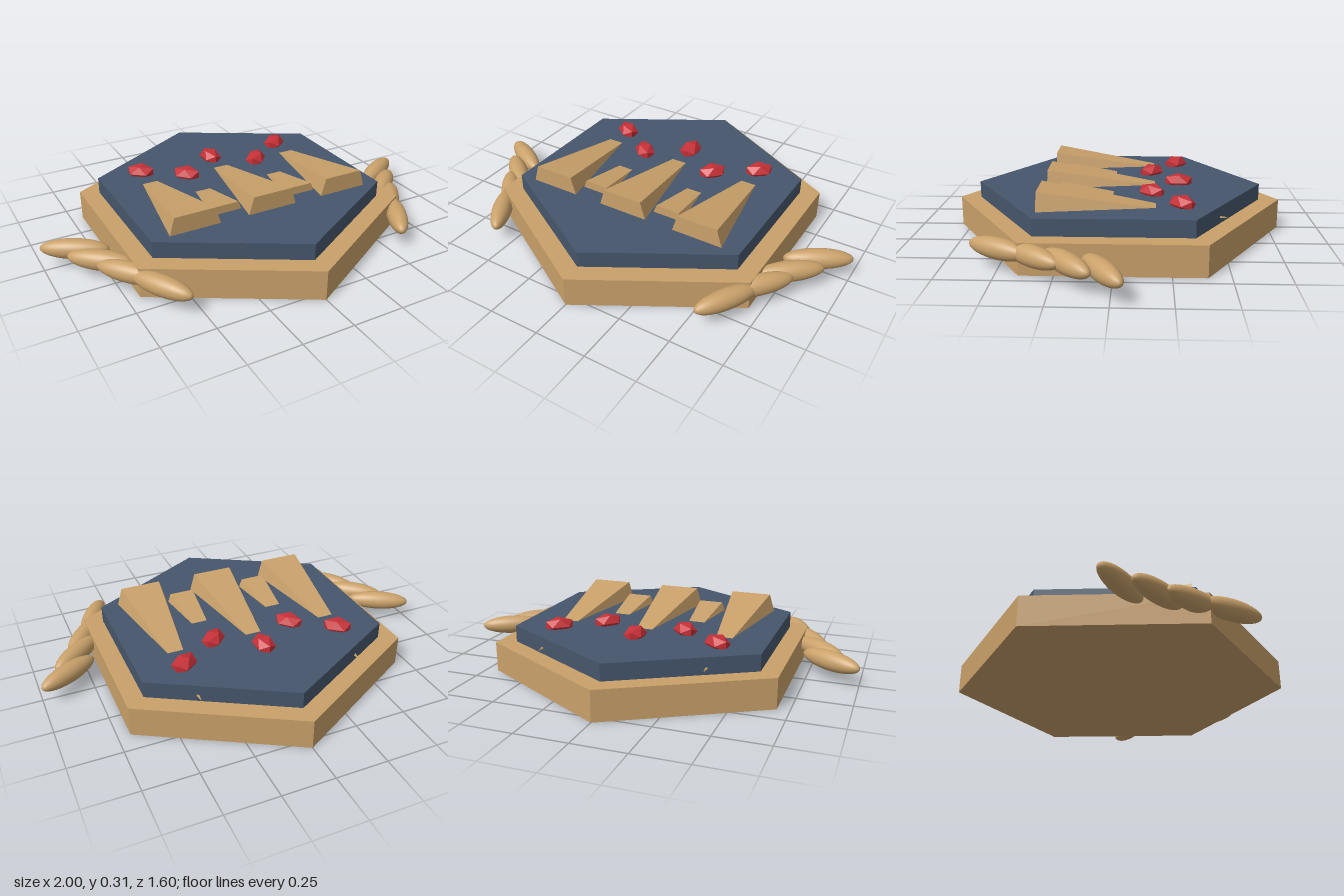
import * as THREE from 'three';

export function createModel() {
  const group = new THREE.Group();
  const mat = (name, color, flatShading = false) => {
    const m = new THREE.MeshStandardMaterial({ color, flatShading });
    m.name = name;
    return m;
  };
  const gold = mat('gold', 0xc9a16a);
  const slate = mat('slate blue', 0x46566c);
  const red = mat('gem red', 0xc63037);

  const add = (name, geometry, material, x, y, z) => {
    const mesh = new THREE.Mesh(geometry, material);
    mesh.name = name;
    mesh.position.set(x, y, z);
    group.add(mesh);
    return mesh;
  };

  // Flat-sided hexagonal plate with a corner facing the front
  const hexPlate = (radius, height) => {
    const g = new THREE.CylinderGeometry(radius, radius, height, 6).toNonIndexed();
    g.computeVertexNormals();
    return g;
  };
  add('hexagonBase', hexPlate(0.8, 0.145), gold, 0, 0.0725, 0);
  add('hexagonPanel', hexPlate(0.7, 0.08), slate, 0, 0.185, 0);

  // Spike: trapezoid front face tapering back to a point inside the panel
  const spike = (topWidth, bottomWidth, top, bottom, front, tipY, tipZ) => {
    const t = topWidth / 2, b = bottomWidth / 2;
    const corners = [
      [-b, bottom, front], [b, bottom, front], [t, top, front], [-t, top, front], [0, tipY, tipZ],
    ];
    const g = new THREE.BufferGeometry();
    g.setAttribute('position', new THREE.Float32BufferAttribute(corners.flat(), 3));
    g.setIndex([0, 1, 2, 0, 2, 3, 3, 2, 4, 2, 1, 4, 0, 3, 4, 1, 0, 4]);
    const flat = g.toNonIndexed();
    flat.computeVertexNormals();
    return flat;
  };
  const largeSpike = spike(0.2, 0.288, 0.31, 0.16, 0.345, 0.172, -0.51);
  const smallSpike = spike(0.12, 0.205, 0.265, 0.15, 0.27, 0.151, -0.45);
  for (const x of [-0.395, 0, 0.395]) add('largeSpike', largeSpike, gold, x, 0, 0);
  for (const x of [-0.2, 0.2]) add('smallSpike', smallSpike, gold, x, 0, 0);

  // Faceted gems in an arc behind the spikes
  const gem = new THREE.IcosahedronGeometry(1, 0);
  gem.scale(0.052, 0.041, 0.076);
  const gems = [
    [0, -0.3, 0], [-0.395, -0.3, 0.9], [0.395, -0.3, -0.9],
    [-0.2, -0.165, 0.75], [0.2, -0.165, -0.75],
  ];
  for (const [x, z, turn] of gems) add('gem', gem, red, x, 0.236, z).rotation.y = turn;

  // Leaf sprays on both sides
  const leaf = new THREE.SphereGeometry(1, 32, 20);
  leaf.scale(0.16, 0.048, 0.048);
  const leaves = [[0.86, 0.035, 30], [0.785, 0.185, 40], [0.71, 0.335, 50], [0.627, 0.493, 60]];
  for (const side of [-1, 1]) {
    for (const [x, z, degrees] of leaves) {
      const mesh = add(side > 0 ? 'leftLeaf' : 'rightLeaf', leaf, gold, side * x, 0.096, z);
      mesh.rotation.y = side * THREE.MathUtils.degToRad(degrees);
    }
  }
  return group;
}
